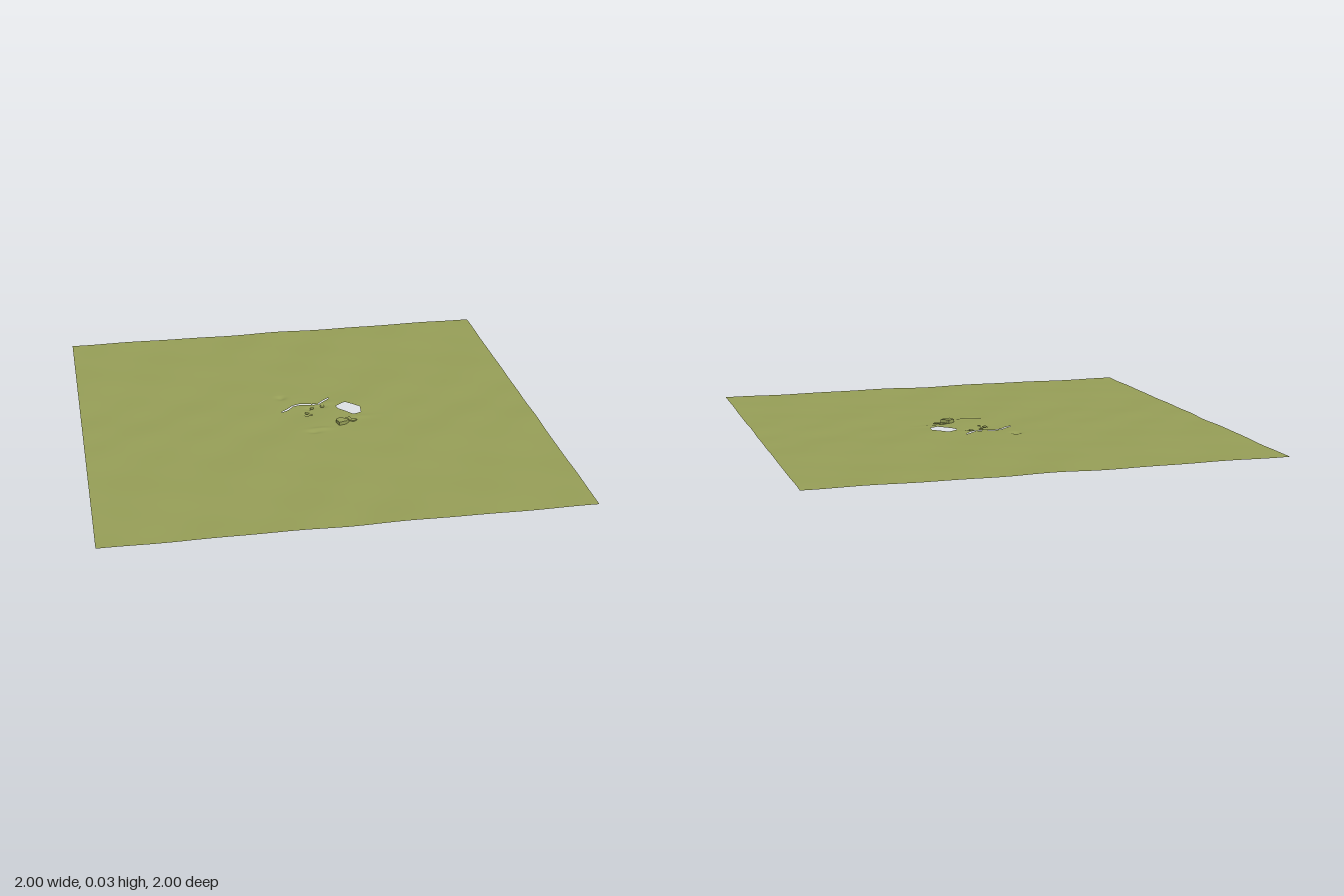
import * as THREE from 'three';

// Plan outlines as [x, z]
const HOLE = [[0.139, -0.09], [0.187, -0.126], [0.246, -0.067], [0.24, -0.013], [0.203, 0.003], [0.144, -0.065]];
const CRACK = [[-0.118, -0.067], [-0.08, -0.094], [-0.053, -0.126], [-0.016, -0.139], [0.064, -0.126], [0.096, -0.158], [0.123, -0.184]];
const crackWidth = [0.002, 0.006, 0.004, 0.005, 0.004, 0.006, 0.003];
const crackOutline = [
  ...CRACK.map(([x, z], i) => [x, z - crackWidth[i]]),
  ...CRACK.map(([x, z], i) => [x + 0.002, z + crackWidth[i]]).reverse(),
];
const OPENINGS = [HOLE, crackOutline];

// Pits and mounds: x, z, radius x, radius z, height
const DENTS = [
  [-0.09, -0.22, 0.022, 0.02, -0.008], [0.0, -0.035, 0.014, 0.014, -0.012],
  [0.02, -0.09, 0.02, 0.012, -0.006], [0.08, -0.1, 0.02, 0.014, -0.006],
  [0.03, 0.13, 0.045, 0.014, 0.005], [0.0, 0.15, 0.03, 0.016, -0.006],
  [0.11, -0.13, 0.03, 0.025, 0.003], [0.22, 0.03, 0.06, 0.02, 0.003],
];

function groundHeight(x, z) {
  let y = 0.0135
    + 0.0011 * Math.sin(7 * x + 11 * z + 1.5 * Math.sin(4 * x))
    + 0.0008 * Math.sin(17 * x + 13 * z + 2 * Math.sin(5 * z))
    + 0.0006 * Math.sin(23 * z - 9 * x);
  for (const [cx, cz, rx, rz, h] of DENTS) y += h * Math.exp(-(((x - cx) / rx) ** 2) - ((z - cz) / rz) ** 2);
  return Math.max(y, 0);
}

function inside(poly, x, z) {
  let hit = false;
  poly.forEach(([ax, az], i) => {
    const [bx, bz] = poly[(i + 1) % poly.length];
    if ((az > z) !== (bz > z) && x < ax + ((z - az) * (bx - ax)) / (bz - az)) hit = !hit;
  });
  return hit;
}

function nearestOnOutline(poly, x, z) {
  let best = null, bestD = Infinity;
  poly.forEach(([ax, az], i) => {
    const [bx, bz] = poly[(i + 1) % poly.length];
    const dx = bx - ax, dz = bz - az;
    const t = THREE.MathUtils.clamp(((x - ax) * dx + (z - az) * dz) / (dx * dx + dz * dz), 0, 1);
    const px = ax + t * dx, pz = az + t * dz, d = Math.hypot(px - x, pz - z);
    if (d < bestD) { bestD = d; best = [px, pz]; }
  });
  return best;
}

// Grid lines: fine around the openings, coarser towards the borders
function gridLines(fineFrom, fineTo) {
  const lines = [];
  const add = (a, b, step) => {
    const n = Math.round((b - a) / step);
    for (let i = 0; i < n; i++) lines.push(a + ((b - a) * i) / n);
  };
  add(-1, fineFrom, 0.03);
  add(fineFrom, fineTo, 0.004);
  add(fineTo, 1, 0.03);
  lines.push(1);
  return lines;
}

// Rolling sheet; points inside an opening slide to its rim and the faces within are left out
function groundGeometry() {
  const xs = gridLines(-0.14, 0.27), zs = gridLines(-0.25, 0.18);
  const positions = [], index = [], cut = [];
  for (const z of zs) for (const x of xs) {
    const opening = OPENINGS.find((poly) => inside(poly, x, z));
    const [px, pz] = opening ? nearestOnOutline(opening, x, z) : [x, z];
    cut.push(Boolean(opening));
    positions.push(px, groundHeight(px, pz), pz);
  }
  const addFace = (a, b, c) => { if (!(cut[a] && cut[b] && cut[c])) index.push(a, b, c); };
  const w = xs.length;
  for (let j = 0; j < zs.length - 1; j++) for (let i = 0; i < w - 1; i++) {
    const a = j * w + i;
    addFace(a, a + w, a + 1);
    addFace(a + 1, a + w, a + w + 1);
  }
  const geometry = new THREE.BufferGeometry();
  geometry.setAttribute('position', new THREE.Float32BufferAttribute(positions, 3));
  geometry.setIndex(index);
  geometry.computeVertexNormals();
  return geometry;
}

// Raised clod with a flat top and steep sides
function clod(name, outline, bottom, top, material) {
  const shape = new THREE.Shape(outline.map(([x, z]) => new THREE.Vector2(x, -z)));
  const geometry = new THREE.ExtrudeGeometry(shape, { depth: top - bottom, bevelEnabled: false });
  geometry.rotateX(-Math.PI / 2).translate(0, bottom, 0);
  const mesh = new THREE.Mesh(geometry, material);
  mesh.name = name;
  return mesh;
}

export function createModel() {
  const grass = new THREE.MeshStandardMaterial({ color: 0x969e57, side: THREE.DoubleSide });
  grass.name = 'grass green';

  const group = new THREE.Group();
  group.name = 'groundPatch';
  const ground = new THREE.Mesh(groundGeometry(), grass);
  ground.name = 'ground';
  group.add(ground);

  // Clods in front of the hole
  group.add(clod('largeClod', [[0.108, 0.075], [0.135, 0.055], [0.145, 0.068], [0.168, 0.078], [0.15, 0.1], [0.118, 0.11]], 0.008, 0.029, grass));
  group.add(clod('smallClod', [[0.15, 0.048], [0.178, 0.035], [0.182, 0.055], [0.205, 0.066], [0.19, 0.08], [0.165, 0.07]], 0.008, 0.018, grass));

  // Pebbles around the middle
  for (const [x, z, r] of [[0.0, -0.045, 0.01], [0.02, -0.022, 0.008], [0.03, -0.09, 0.009], [0.08, -0.105, 0.01], [0.135, -0.095, 0.007]]) {
    const pebble = new THREE.Mesh(new THREE.IcosahedronGeometry(r, 1), grass);
    pebble.name = 'pebble';
    pebble.scale.y = 0.5;
    pebble.position.set(x, 0.011, z);
    group.add(pebble);
  }
  return group;
}
